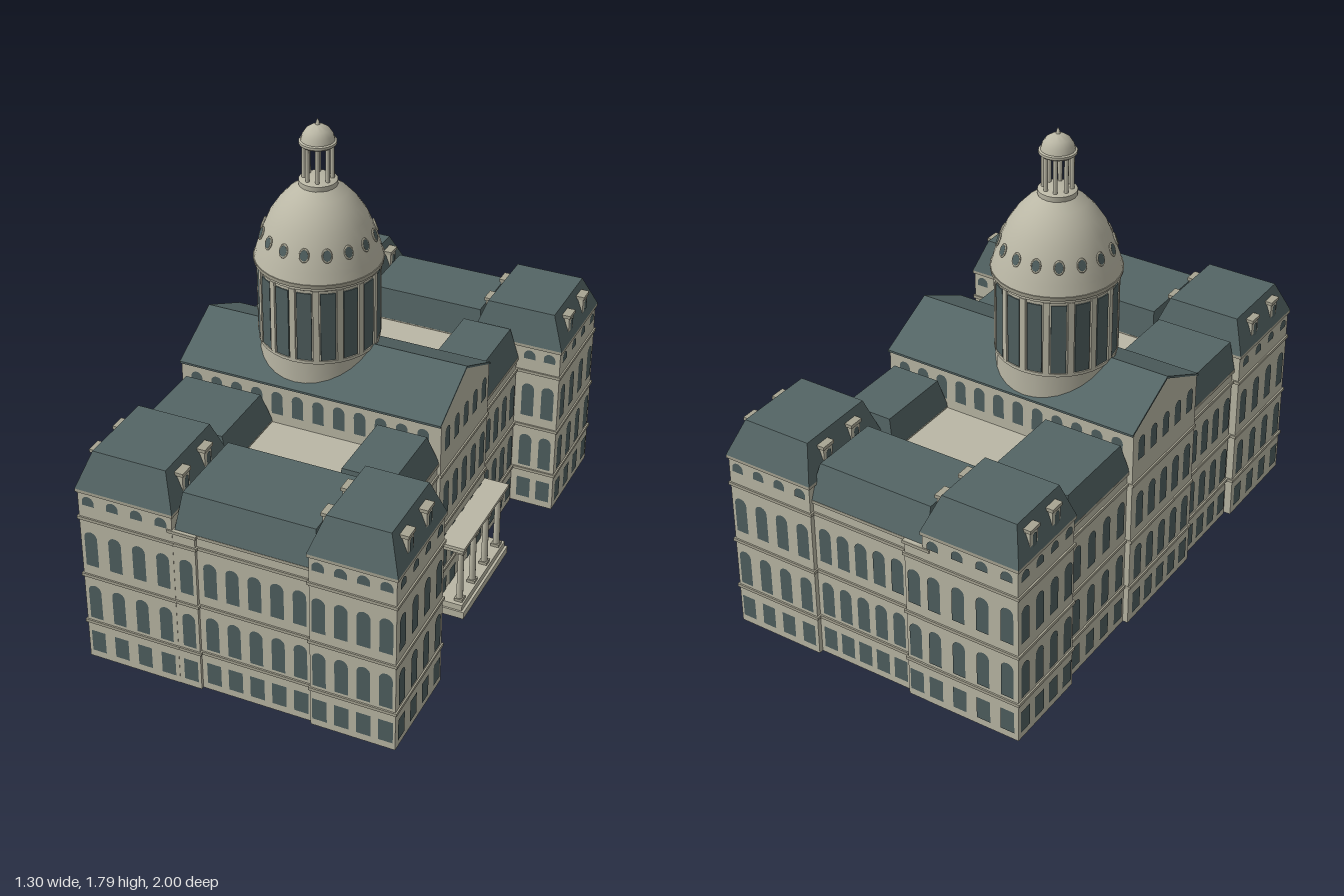
import * as THREE from 'three';
import { mergeGeometries, toCreasedNormals } from 'three/addons/utils/BufferGeometryUtils.js';

const mat = (name, color) => new THREE.MeshStandardMaterial({ name, color });

export function createModel() {
  const stone = mat('stone', 0xbab7a5);
  const trim = mat('trim', 0xa7a492);
  const slate = mat('slate', 0x546565);
  const glass = mat('glass', 0x4f5f5f);
  const model = new THREE.Group();
  const hall = new THREE.Group();
  hall.name = 'building';
  hall.rotation.y = 0.053;
  model.add(hall);

  const add = (name, geo, material, parent = hall) => {
    const m = new THREE.Mesh(geo, material);
    m.name = name;
    parent.add(m);
    return m;
  };
  // Box given by its limits
  const box = (x0, x1, y0, y1, z0, z1) => new THREE.BoxGeometry(x1 - x0, y1 - y0, z1 - z0)
    .translate((x0 + x1) / 2, (y0 + y1) / 2, (z0 + z1) / 2);

  // Mansard roof: a box whose top corners are pulled in by [x0, x1, z0, z1]
  const mansard = (name, [x0, x1, z0, z1], y0, y1, [a, b, c, d]) => {
    const g = box(x0, x1, y0, y1, z0, z1);
    const p = g.attributes.position;
    for (let i = 0; i < p.count; i++) {
      if (p.getY(i) < (y0 + y1) / 2) continue;
      p.setX(i, p.getX(i) < (x0 + x1) / 2 ? x0 + a : x1 - b);
      p.setZ(i, p.getZ(i) < (z0 + z1) / 2 ? z0 + c : z1 - d);
    }
    g.computeVertexNormals();
    add(name, g, slate);
  };

  // Wall block with string courses and an eaves cornice
  const block = (name, [x0, x1, z0, z1], top, courses = [0.16, 0.365, 0.61]) => {
    const w = 0.006;
    add(name + 'Walls', box(x0 + w, x1 - w, 0, top, z0 + w, z1 - w), stone);
    const bands = [...courses, top - 0.006].map(y => box(x0, x1, y - 0.006, y + 0.006, z0, z1));
    add(name + 'Cornices', mergeGeometries(bands), trim);
  };

  // Window outlines: rectangle, or rectangle with a round head
  const pane = (w, h, arched) => {
    const s = new THREE.Shape();
    s.moveTo(-w / 2, 0);
    s.lineTo(w / 2, 0);
    if (arched) s.absarc(0, h - w / 2, w / 2, 0, Math.PI);
    else { s.lineTo(w / 2, h); s.lineTo(-w / 2, h); }
    return new THREE.ShapeGeometry(s, 6);
  };
  const rows = {
    ground: [0.03, pane(0.055, 0.09, false)],
    first: [0.18, pane(0.05, 0.145, true)],
    second: [0.412, pane(0.05, 0.145, true)],
    attic: [0.668, pane(0.046, 0.038, true)],
    hall: [0.7, pane(0.045, 0.095, true)],
  };
  const floors = ['ground', 'first', 'second'];
  // Rows of n windows on a wall centred at (cx, cz), facing the turn ry
  const facade = (name, cx, cz, width, ry, n, list) => {
    const parts = [];
    for (const key of list) {
      const [y, geo] = rows[key];
      for (let i = 0; i < n; i++) {
        const t = ((i + 0.5) / n - 0.5) * width;
        parts.push(geo.clone().rotateY(ry).translate(
          cx + Math.cos(ry) * t + Math.sin(ry) * 0.003, y, cz - Math.sin(ry) * t + Math.cos(ry) * 0.003));
      }
    }
    add(name + 'Windows', mergeGeometries(parts), glass);
  };
  const R = Math.PI / 2;

  // Four corner pavilions with dormers on both side slopes
  const dormer = (x, z, side) => {
    const d = new THREE.Group();
    d.name = 'dormer';
    d.position.set(x, 0.745, z);
    d.rotation.y = side * R;
    add('dormerFrame', box(-0.024, 0.024, 0, 0.08, -0.04, 0.008), stone, d);
    add('dormerHood', box(-0.029, 0.029, 0.075, 0.088, -0.04, 0.013), trim, d);
    add('dormerGlass', pane(0.026, 0.055, true).translate(0, 0.012, 0.011), glass, d);
    hall.add(d);
  };
  const pavilions = [
    ['frontLeftPavilion', -0.602, -0.225, 0.557, 0.968],
    ['frontRightPavilion', 0.272, 0.6, 0.56, 0.968],
    ['backLeftPavilion', -0.602, -0.215, -0.968, -0.612],
    ['backRightPavilion', 0.24, 0.602, -0.968, -0.555],
  ];
  for (const [name, x0, x1, z0, z1] of pavilions) {
    const f = z1 > 0, w = x1 - x0, d = z1 - z0, cx = (x0 + x1) / 2, cz = (z0 + z1) / 2;
    block(name, [x0, x1, z0, z1], 0.73);
    mansard(name + 'Roof', [x0, x1, z0, z1], 0.73, 0.86, [0.045, 0.05, f ? 0.04 : 0.06, f ? 0.06 : 0.04]);
    const all = [...floors, 'attic'];
    facade(name + 'End', cx, f ? z1 - 0.006 : z0 + 0.006, w, f ? 0 : 2 * R, 4, all);
    if (x0 < 0) facade(name + 'Side', x0 + 0.006, cz, d, -R, 4, all);
    else {
      facade(name + 'Side', x1 - 0.006, cz, d, R, 4, all);
      facade(name + 'Return', 0.515, f ? z0 + 0.006 : z1 - 0.006, 0.16, f ? 2 * R : 0, 2, all);
    }
    for (const k of [-0.19, 0.19]) {
      dormer(x0 + 0.02, cz + k * d, -1);
      dormer(x1 - 0.02, cz + k * d, 1);
    }
  }

  // End ranges between the pavilions, with the wider bay beside the left pavilion
  for (const s of [1, -1]) {
    const name = s > 0 ? 'frontRange' : 'backRange', ry = s > 0 ? 0 : 2 * R;
    const z = s > 0 ? [0.565, 0.955] : [-0.95, -0.615], x1 = s > 0 ? 0.3 : 0.26;
    const bay = s > 0 ? [0.6, 0.967] : [-0.967, -0.64];
    block(name, [-0.24, x1, ...z], 0.665);
    block(name + 'Bay', [-0.25, -0.14, ...bay], 0.665);
    mansard(name + 'Roof', [-0.225, x1, ...z], 0.662, 0.79,
      [0.01, 0.02, s > 0 ? 0.015 : 0.05, s > 0 ? 0.05 : 0.015]);
    facade(name, (x1 - 0.16) / 2, s * (s > 0 ? 0.949 : 0.944), x1 + 0.12, ry, 5, floors);
    facade(name + 'Bay', -0.183, s * 0.961, 0.08, ry, 1, floors);
  }

  // Long side wings, and the flat roofs they enclose
  for (const s of [1, -1]) {
    const end = s > 0 ? 'front' : 'back';
    const span = (a, b) => (s > 0 ? [a, b] : [-b, -a]);
    const far = s > 0 ? 0.56 : 0.61;
    const hip = s > 0 ? [0.035, 0.01] : [0.01, 0.035];
    const left = [-0.578, -0.225, ...span(0.22, far)];
    const right = [0.185, 0.43, ...span(0.22, 0.56)];
    block(end + 'LeftWing', left, 0.665);
    block(end + 'RightWing', right, 0.665);
    mansard(end + 'LeftWingRoof', left, 0.662, 0.785, [0.02, 0.03, ...hip]);
    mansard(end + 'RightWingRoof', right, 0.662, 0.785, [0.02, 0.035, ...hip]);
    facade(end + 'LeftWing', -0.572, s * (0.22 + far) / 2, far - 0.22, -R, 4, floors);
    facade(end + 'RightWing', 0.424, s * 0.39, 0.335, R, 4, floors);
    add(end + 'CourtRoof', box(-0.23, 0.19, 0, 0.66, ...span(0.2, 0.63)), stone);
  }

  // Gabled central hall
  const extrude = (pts, x0, x1) => new THREE.ExtrudeGeometry(
    new THREE.Shape(pts.map(p => new THREE.Vector2(...p))), { depth: x1 - x0, bevelEnabled: false })
    .rotateY(R).translate(x0, 0, 0);
  add('centralHall', extrude([[-0.225, 0], [0.225, 0], [0.225, 0.825], [0, 0.935], [-0.225, 0.825]],
    -0.592, 0.436), stone);
  add('centralHallRoof', extrude([[-0.235, 0.82], [0, 0.934], [0.235, 0.82], [0.235, 0.828], [0, 0.943],
    [-0.235, 0.828]], -0.594, 0.437), slate);
  for (const y of [0.16, 0.365, 0.61])
    add('centralHallCornice', box(-0.598, 0.442, y - 0.006, y + 0.006, -0.226, 0.226), trim);
  facade('hallRight', 0.436, 0, 0.43, R, 5, [...floors, 'hall']);
  facade('hallLeft', -0.592, 0, 0.43, -R, 5, [...floors, 'hall']);
  facade('hallFront', -0.08, 0.225, 0.98, 0, 12, ['hall']);
  facade('hallBack', -0.08, -0.225, 0.98, 2 * R, 12, ['hall']);

  // Entrance portico
  const portico = new THREE.Group();
  portico.name = 'portico';
  hall.add(portico);
  add('porticoStep', box(0.43, 0.54, 0, 0.03, -0.225, 0.22), stone, portico);
  add('porticoFloor', box(0.43, 0.53, 0.03, 0.055, -0.218, 0.213), stone, portico);
  add('porticoBeam', box(0.43, 0.523, 0.28, 0.305, -0.208, 0.203), stone, portico);
  add('porticoSlab', box(0.43, 0.535, 0.305, 0.318, -0.225, 0.22), stone, portico);
  for (let i = 0; i < 4; i++) {
    const z = -0.185 + i * 0.122;
    add('porticoColumn', new THREE.CylinderGeometry(0.011, 0.013, 0.225, 12).translate(0.508, 0.1675, z), stone, portico);
    add('porticoCapital', box(0.492, 0.524, 0.27, 0.282, z - 0.016, z + 0.016), trim, portico);
    add('porticoPlinth', box(0.492, 0.524, 0.055, 0.067, z - 0.016, z + 0.016), trim, portico);
  }

  // Drum, dome and lantern
  const tower = new THREE.Group();
  tower.name = 'domeTower';
  tower.position.set(-0.144, 0, -0.01);
  hall.add(tower);
  const lathe = (name, pts, material, n = 32) => add(name, toCreasedNormals(
    new THREE.LatheGeometry(pts.map(p => new THREE.Vector2(...p)), n), 0.5), material, tower);
  lathe('drum', [[0, 0.64], [0.216, 0.64], [0.216, 0.93], [0.221, 0.93], [0.221, 0.942], [0.216, 0.942],
    [0.216, 1.225], [0.224, 1.23], [0.224, 1.245]], stone);
  lathe('domeCornice', [[0.2, 1.24], [0.233, 1.243], [0.235, 1.258], [0.2, 1.26]], trim);
  lathe('dome', [[0.232, 1.258], [0.222, 1.295], [0.202, 1.355], [0.175, 1.42], [0.142, 1.47],
    [0.105, 1.51], [0.066, 1.538], [0, 1.54]], stone);
  lathe('lanternBase', [[0.068, 1.53], [0.07, 1.54], [0.07, 1.555], [0.06, 1.56], [0, 1.56]], stone, 20);
  lathe('lanternCap', [[0, 1.688], [0.062, 1.688], [0.067, 1.693], [0.067, 1.702], [0.06, 1.705], [0.055, 1.725],
    [0.042, 1.745], [0.022, 1.758], [0.008, 1.763], [0.005, 1.775], [0, 1.786]], stone, 20);
  for (let i = 0; i < 8; i++) {
    const a = (i + 0.5) * Math.PI / 4;
    add('lanternColumn', new THREE.CylinderGeometry(0.008, 0.008, 0.13, 8)
      .translate(Math.sin(a) * 0.05, 1.624, Math.cos(a) * 0.05), stone, tower);
  }
  // Sixteen bays of tall windows, pilasters and oval dome lights
  for (let i = 0; i < 16; i++) {
    const a = (i + 0.5) * Math.PI / 8;
    add('drumWindow', box(-0.027, 0.027, 0.945, 1.215, 0.212, 0.219).rotateY(a), glass, tower);
    add('drumPilaster', box(-0.011, 0.011, 0.942, 1.228, 0.21, 0.223).rotateY(a + Math.PI / 16), stone, tower);
    const place = g => g.scale(0.8, 1.1, 1).rotateX(-0.34).translate(0, 1.357, 0.203).rotateY(a);
    add('domeLight', place(new THREE.CircleGeometry(0.018, 12).translate(0, 0, 0.003)), glass, tower);
    add('domeLightFrame', place(new THREE.TorusGeometry(0.02, 0.004, 5, 14)), trim, tower);
  }
  return model;
}
